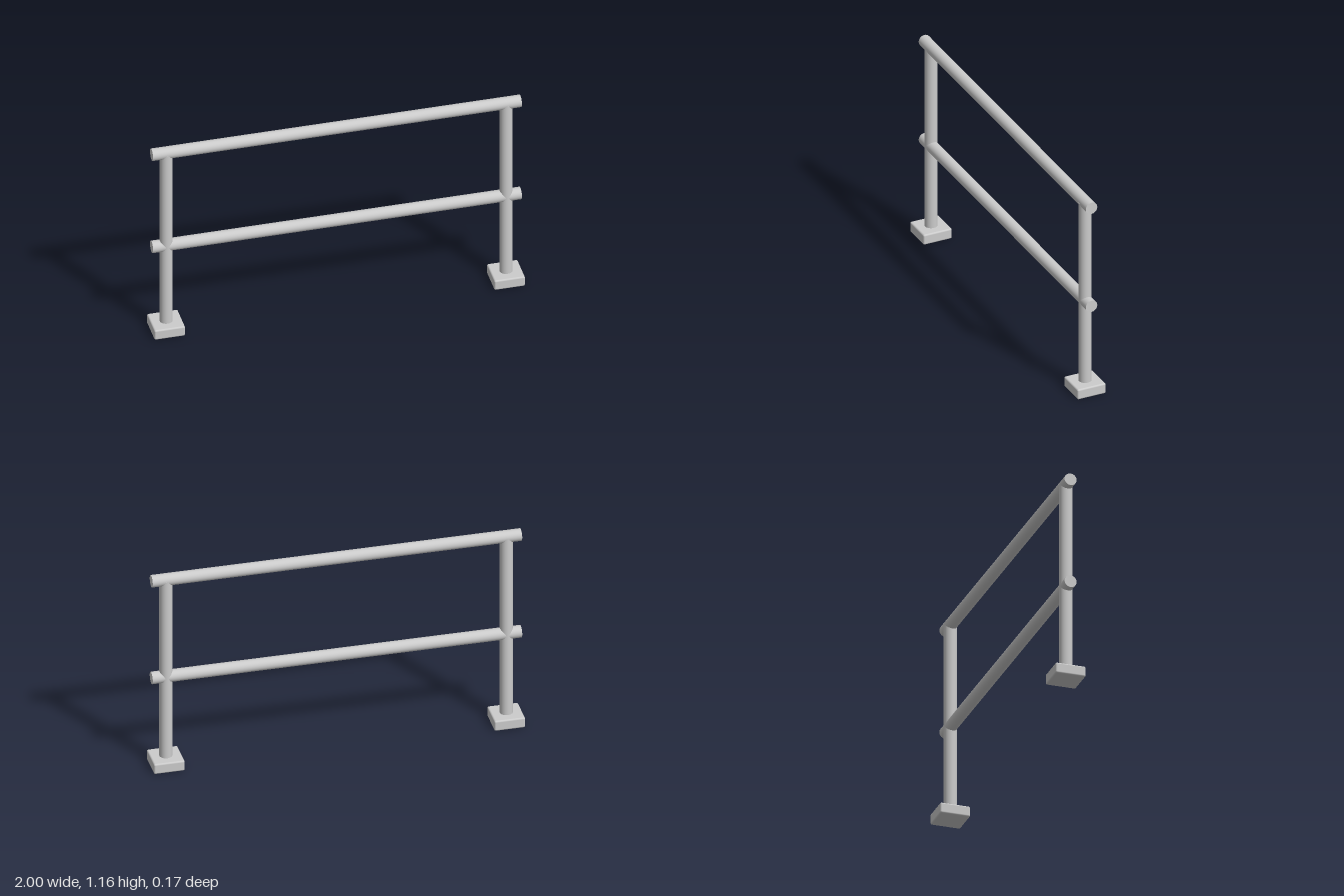
import * as THREE from 'three';
import { RoundedBoxGeometry } from 'three/addons/geometries/RoundedBoxGeometry.js';

export function createModel() {
  const group = new THREE.Group();
  const material = new THREE.MeshStandardMaterial({ color: 0xcccccc });

  const add = (name, geometry, x, y) => {
    const mesh = new THREE.Mesh(geometry, material);
    mesh.name = name;
    mesh.position.set(x, y, 0);
    group.add(mesh);
    return mesh;
  };

  // Posts standing on rounded foot blocks
  const footHeight = 0.06, postTop = 1.128;
  const postLength = postTop - footHeight / 2;
  for (const [side, sign] of [['left', 1], ['right', -1]]) {
    const x = sign * 0.917;
    add(`${side}Foot`, new RoundedBoxGeometry(0.166, footHeight, 0.166, 3, 0.009), x, footHeight / 2);
    add(`${side}Post`, new THREE.CylinderGeometry(0.0345, 0.0345, postLength, 32), x, postTop - postLength / 2);
  }

  // Horizontal rails running past the posts
  for (const [name, y] of [['topRail', 1.128], ['middleRail', 0.54]]) {
    add(name, new THREE.CylinderGeometry(0.0335, 0.0335, 1.99, 32), 0, y).rotation.z = Math.PI / 2;
  }

  return group;
}
